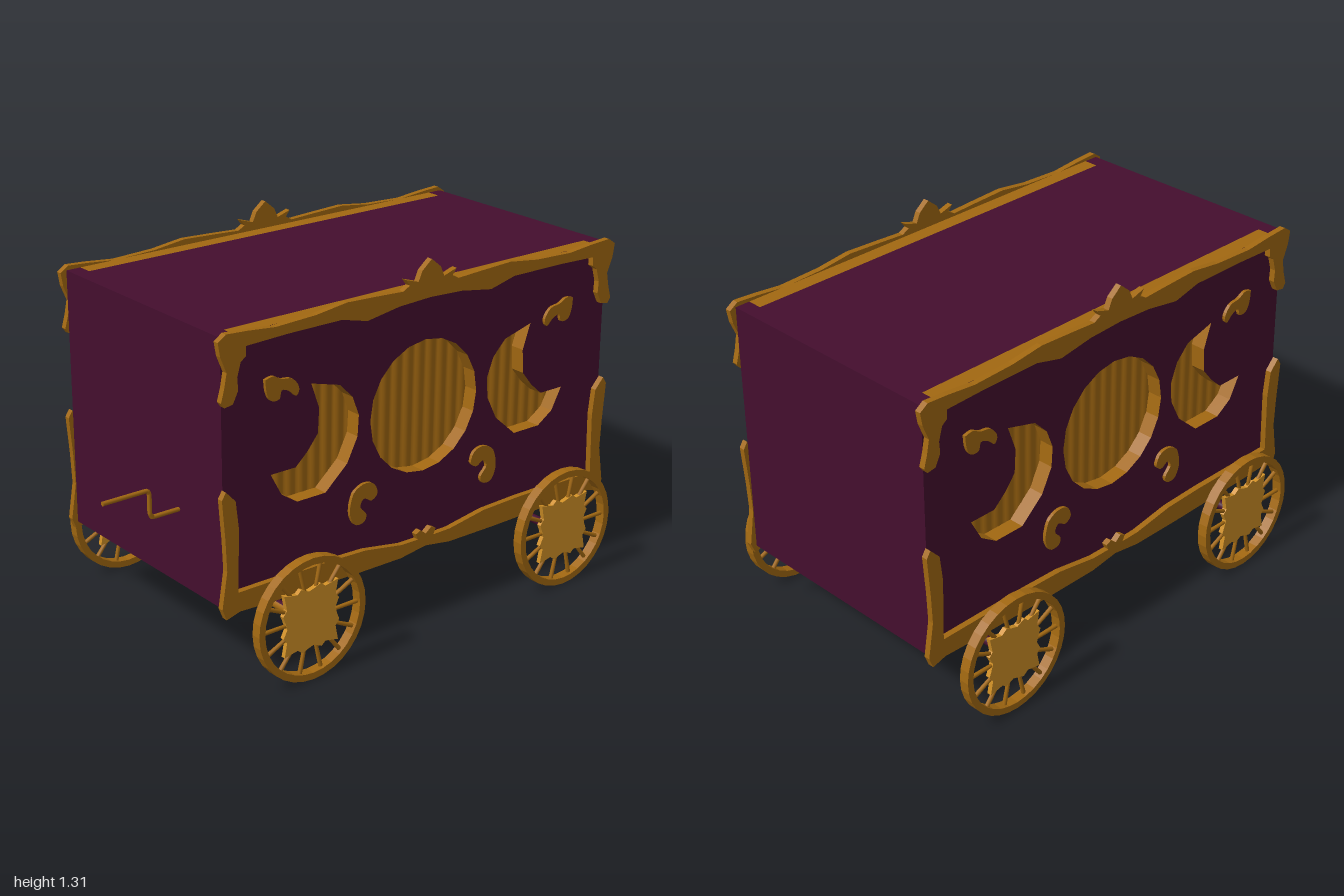
import * as THREE from 'three';

const mat = (name, color) => Object.assign(new THREE.MeshStandardMaterial({ color }), { name });

export function createModel() {
  const model = new THREE.Group();
  model.name = 'paradeWagon';
  const purple = mat('deep purple', 0x440e2e);
  const gold = mat('old gold', 0xa26811);
  const brightGold = mat('bright gold', 0xcf8f26);
  const ZC = -0.128; // middle of the body along z
  const FRONT = 0.71, BACK = -0.966, WALL = 0.055, HALF = 0.44, FLOOR = 0.285, ROOF = 1.21;

  const add = (name, geometry, material) => {
    const mesh = new THREE.Mesh(geometry, material);
    mesh.name = name;
    model.add(mesh);
    return mesh;
  };
  const box = (name, w, h, d, x, y, z, material) =>
    add(name, new THREE.BoxGeometry(w, h, d).translate(x, y, z), material);

  // outlines are [u, y] with u measured from the body middle
  const vecs = (pts, s = 1) => pts.map(([u, y]) => new THREE.Vector2(ZC + s * u, y));
  const symmetric = half => new THREE.Shape([
    ...vecs(half), ...vecs(half, -1).reverse().slice(1, -1)]);
  const blob = (pts, s) => {
    const shape = new THREE.Shape();
    const v = vecs(pts, s);
    shape.moveTo(v[0].x, v[0].y);
    shape.splineThru([...v.slice(1), v[0]]);
    return shape;
  };

  // extrude a side-view shape on both sides of the wagon
  const slabs = (name, shape, outer, depth, material, curveSegments = 12) => {
    for (const s of [1, -1]) {
      const g = new THREE.ExtrudeGeometry(shape, { depth, bevelEnabled: false, curveSegments });
      g.rotateY(-Math.PI / 2).translate(s > 0 ? outer : depth - outer, 0, 0);
      add((s > 0 ? 'left ' : 'right ') + name, g, material);
    }
  };

  // body shell
  const mid = (FRONT + BACK) / 2, height = ROOF - FLOOR, yMid = (ROOF + FLOOR) / 2;
  const inner = HALF - WALL, innerLength = FRONT - BACK - 2 * WALL;
  box('front panel', 2 * HALF, height, WALL, 0, yMid, FRONT - WALL / 2, purple);
  box('back panel', 2 * HALF, height, WALL, 0, yMid, BACK + WALL / 2, purple);
  box('roof', 2 * inner, 0.04, innerLength, 0, ROOF - 0.02, mid, purple);
  box('floor', 2 * inner, 0.04, innerLength, 0, FLOOR + 0.02, mid, purple);

  // side walls with a round window and two crescent windows, gold on the cut edges
  const z0 = BACK + WALL, z1 = FRONT - WALL;
  const wall = new THREE.Shape([[z0, FLOOR], [z1, FLOOR], [z1, ROOF], [z0, ROOF]]
    .map(p => new THREE.Vector2(...p)));
  const crescent = [[0.483, 0.98], [0.365, 0.948], [0.312, 0.894], [0.285, 0.825], [0.29, 0.75],
    [0.333, 0.665], [0.424, 0.585], [0.541, 0.585], [0.605, 0.627], [0.648, 0.707],
    [0.547, 0.707], [0.499, 0.75], [0.456, 0.803], [0.451, 0.889]];
  wall.holes.push(new THREE.Path().absarc(ZC, 0.789, 0.236, 0, Math.PI * 2, true));
  for (const s of [1, -1]) wall.holes.push(new THREE.Path(vecs(crescent, s)));
  slabs('side wall', wall, HALF, WALL, [purple, gold], 10);

  // ribbed panels behind the windows
  for (const s of [1, -1]) {
    const g = new THREE.PlaneGeometry(1.4, 0.5, 168, 1);
    const p = g.attributes.position;
    for (let i = 0; i < p.count; i++) {
      p.setZ(i, 0.009 * Math.abs(Math.sin(p.getX(i) * Math.PI / 0.05)));
    }
    g.computeVertexNormals();
    g.rotateY(s * Math.PI / 2).translate(s * (inner - 0.008), 0.785, ZC);
    add('ribbed window panel', g, gold);
  }

  // carved cornice with crest and corner drops
  slabs('cornice', symmetric([[0, 1.308], [0.04, 1.275], [0.056, 1.24], [0.11, 1.257], [0.093, 1.235],
    [0.12, 1.22], [0.216, 1.225], [0.355, 1.231], [0.48, 1.215], [0.64, 1.209], [0.75, 1.22],
    [0.83, 1.225], [0.861, 1.204], [0.853, 1.156], [0.83, 1.1], [0.84, 1.05], [0.853, 1.005],
    [0.84, 0.987], [0.808, 0.992], [0.787, 1.033], [0.79, 1.076], [0.776, 1.124], [0.755, 1.14],
    [0.755, 1.172], [0.59, 1.177], [0.376, 1.177], [0.27, 1.151], [0.136, 1.172], [0, 1.178]]),
  0.462, 0.022, gold);

  // carved skirt with corner posts
  slabs('skirt', symmetric([[0, 0.325], [0.024, 0.344], [0.045, 0.334], [0.035, 0.312], [0.11, 0.313],
    [0.27, 0.339], [0.43, 0.344], [0.797, 0.344], [0.792, 0.57], [0.803, 0.665], [0.84, 0.705],
    [0.856, 0.68], [0.845, 0.54], [0.84, 0.43], [0.861, 0.3], [0.845, 0.26], [0.792, 0.275],
    [0.67, 0.27], [0.32, 0.264], [0.11, 0.264], [0, 0.28]]), 0.462, 0.022, gold);

  // scroll ornaments
  const upper = [[0.675, 1.038], [0.643, 1.044], [0.61, 1.028], [0.568, 1.02], [0.541, 0.985],
    [0.552, 0.958], [0.579, 0.98], [0.61, 0.99], [0.62, 0.962], [0.653, 0.964], [0.67, 0.995]].map(
    ([u, y]) => [1.216 - u, y]);
  const lower = [[0.328, 0.515], [0.312, 0.558], [0.269, 0.579], [0.227, 0.569], [0.211, 0.531],
    [0.237, 0.51], [0.269, 0.526], [0.285, 0.499], [0.259, 0.467], [0.269, 0.44], [0.307, 0.44],
    [0.328, 0.478]];
  for (const s of [1, -1]) {
    slabs('upper scroll', blob(upper.map(([u, y]) => [1.216 - u, y]), s), 0.452, 0.012, gold, 3);
    slabs('lower scroll', blob(lower, s), 0.452, 0.012, gold, 3);
  }

  // running gear
  const R = 0.22, SPOKES = 14;
  for (const z of [0.446, -0.703]) {
    box('axle bolster', 2 * inner, 0.065, 0.09, 0, 0.2525, z, purple);
    add('axle', new THREE.CylinderGeometry(0.016, 0.016, 1.1, 16)
      .rotateZ(Math.PI / 2).translate(0, 0.201, z), purple);

    const rim = new THREE.Shape().absarc(z, R, R, 0, Math.PI * 2, false);
    rim.holes.push(new THREE.Path().absarc(z, R, 0.196, 0, Math.PI * 2, true));
    slabs('wheel rim', rim, 0.567, 0.037, gold, 16);

    // star plate with four long points and ragged edges
    const star = [];
    for (let q = 0; q < 4; q++) {
      for (const [deg, r] of [[45, 0.157], [60, 0.116], [70, 0.122], [84, 0.1], [98, 0.108],
        [108, 0.122], [120, 0.116]]) {
        const a = (deg + q * 90) * Math.PI / 180;
        star.push(new THREE.Vector2(z + r * Math.cos(a), R + r * Math.sin(a)));
      }
    }
    slabs('wheel star plate', new THREE.Shape(star), 0.557, 0.017, brightGold);

    for (const s of [1, -1]) {
      for (let i = 0; i < SPOKES; i++) {
        add('wheel spoke', new THREE.CylinderGeometry(0.008, 0.006, 0.15, 8)
          .translate(0, 0.128, 0).rotateX((i + 0.5) / SPOKES * Math.PI * 2)
          .translate(s * 0.5485, R, z), gold);
      }
    }
  }
  // gold facing on the front axle
  add('front axle facing', new THREE.CylinderGeometry(0.0175, 0.0175, 1.06, 12, 1, true, -0.9, 1.8)
    .rotateZ(Math.PI / 2).translate(0, 0.201, 0.446), gold);

  // crank handle on the front
  const rod = 0.008, cx = 0.195;
  const path = [[0.555, 0.7], [0.555, 0.815], [0.57, 0.823], [0.64, 0.823], [0.652, 0.83], [0.652, 1]]
    .map(([y, z]) => new THREE.Vector3(cx, y, z));
  const crank = new THREE.CurvePath();
  for (let i = 1; i < path.length; i++) crank.add(new THREE.LineCurve3(path[i - 1], path[i]));
  add('crank handle', new THREE.TubeGeometry(crank, 60, rod, 8), gold);
  add('crank end', new THREE.CircleGeometry(rod, 8).translate(cx, 0.652, 1), gold);

  return model;
}
